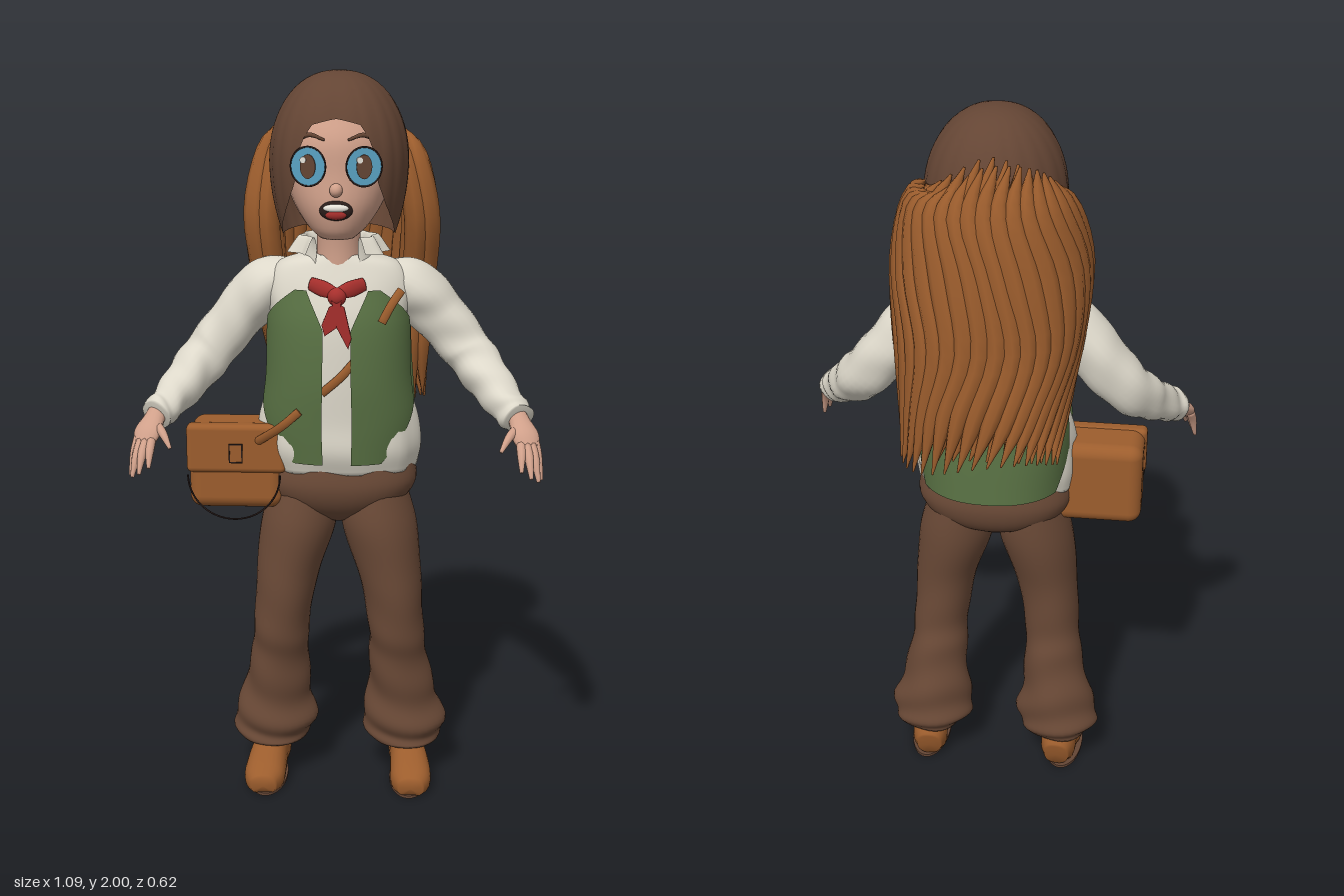
import * as THREE from 'three';
import { RoundedBoxGeometry } from 'three/addons/geometries/RoundedBoxGeometry.js';

const V = (x, y, z) => new THREE.Vector3(x, y, z);
const rad = THREE.MathUtils.degToRad;

// One flat colour per material
const mat = (name, color) => new THREE.MeshStandardMaterial({ name, color, side: THREE.DoubleSide });
const M = {
  cap: mat('darkBrownHair', 0x644534), trouser: mat('brownCloth', 0x6b4a37), tan: mat('tanLeather', 0x9c5d2d),
  shirt: mat('creamCloth', 0xddd8ca), vest: mat('greenCloth', 0x587043), red: mat('redCloth', 0xa62f2c),
  skin: mat('skin', 0xd0a08a), blue: mat('blueGlass', 0x5aa3c4), dark: mat('black', 0x2a1d1a), white: mat('white', 0xf0ece2),
};

// Grid of points fn(i, j) turned into a smooth surface
function grid(cols, rows, closed, fn) {
  const pos = [], idx = [], w = closed ? cols : cols + 1;
  for (let j = 0; j <= rows; j++) for (let i = 0; i < w; i++) pos.push(...fn(i / cols, j / rows).toArray());
  for (let j = 0; j < rows; j++) for (let i = 0; i < cols; i++) {
    const a = j * w + i, b = j * w + (i + 1) % w;
    idx.push(a, b, a + w, b, b + w, a + w);
  }
  const g = new THREE.BufferGeometry();
  g.setAttribute('position', new THREE.Float32BufferAttribute(pos, 3));
  g.setIndex(idx);
  g.computeVertexNormals();
  return g;
}

const pw = (v, p) => Math.sign(v) * Math.abs(v) ** p;

// Sweep of oval sections; rows are [x, y, z, rx, rz]; arc limits the angle range, 0 faces ref
function sweep(rows, { n = 24, m = 24, ref = V(0, 0, 1), up = null, wob = () => 1, arc = null, p = 1 } = {}) {
  const path = new THREE.CatmullRomCurve3(rows.map(r => V(r[0], r[1], r[2])), false, 'catmullrom');
  const size = new THREE.CatmullRomCurve3(rows.map(r => V(r[3], r[4], 0)), false, 'catmullrom');
  return grid(n, m + 2, !arc, (u, v) => {
    const k = Math.round(v * (m + 2)), t = THREE.MathUtils.clamp((k - 1) / m, 0, 1);
    const end = !arc && (k === 0 || k === m + 2) ? 0 : 1;
    const T = up || path.getTangent(t);
    const S = T.clone().cross(ref).normalize(), F = S.clone().cross(T);
    const lim = arc ? arc(t).map(rad) : [0, Math.PI * 2];
    const a = lim[0] + (lim[1] - lim[0]) * u, r = size.getPoint(t), w = wob(a, t) * end;
    return path.getPoint(t).addScaledVector(S, pw(Math.sin(a), p) * r.x * w).addScaledVector(F, pw(Math.cos(a), p) * r.y * w);
  });
}

export function createModel() {
  const root = new THREE.Group();
  root.name = 'youngExplorer';
  const UP = V(0, 1, 0);
  const add = (name, geo, m, x = 0, y = 0, z = 0, parent = root) => {
    const o = new THREE.Mesh(geo, m);
    o.name = name;
    o.position.set(x, y, z);
    parent.add(o);
    return o;
  };
  const ball = (name, m, p, s) => add(name, new THREE.SphereGeometry(1, 20, 14), m, ...p).scale.set(...s);

  // Head and neck
  add('head', sweep([[0, 1.58, .11, .045, .05], [0, 1.61, .085, .08, .095], [0, 1.67, .05, .12, .142], [0, 1.75, .025, .148, .158],
    [0, 1.83, .015, .15, .16], [0, 1.9, .01, .115, .13]], { up: UP, n: 32 }), M.skin);
  add('neck', sweep([[0, 1.44, .025, .065, .07], [0, 1.54, .032, .058, .058], [0, 1.64, .04, .06, .06]], { up: UP }), M.skin);
  ball('nose', M.skin, [0, 1.712, .19], [.017, .018, .02]);
  ball('lips', M.dark, [0, 1.66, .188], [.043, .026, .014]);
  ball('tongue', M.red, [0, 1.651, .195], [.028, .013, .01]);
  ball('teeth', M.white, [0, 1.667, .196], [.033, .011, .01]);

  // Round spectacles, eyes and brows
  for (const s of [-1, 1]) {
    const eye = new THREE.Group();
    eye.name = 'spectacle';
    eye.position.set(s * .071, 1.772, .184);
    eye.rotation.y = s * .2;
    root.add(eye);
    const disc = (name, m, r, sx, x, y, z) => {
      const o = add(name, new THREE.CylinderGeometry(r, r, .006, 28), m, x, y, z, eye);
      o.rotation.x = Math.PI / 2;
      o.scale.x = sx;
    };
    disc('lens', M.blue, .049, .92, 0, 0, 0);
    disc('pupil', M.cap, .031, .65, 0, 0, .004);
    disc('glint', M.white, .008, 1, -.012, .017, .006);
    ball('eyeball', M.white, [s * .071, 1.772, .158], [.036, .038, .022]);
    add('rim', new THREE.TorusGeometry(.05, .0025, 8, 32), M.dark, 0, 0, .002, eye).scale.x = .92;
    add('brow', sweep([[s * .03, 1.838, .178, .003, .003], [s * .07, 1.85, .17, .006, .006], [s * .105, 1.828, .15, .003, .003]],
      { n: 8, ref: UP }), M.cap);
  }

  // Smooth bob with an open face and a narrower, squarer front; hem height depends on the angle from the front
  const hem = [[0, 1.89], [18, 1.875], [26, 1.835], [33, 1.73], [44, 1.67], [60, 1.62], [75, 1.585], [90, 1.57], [181, 1.58]];
  const hemY = d => {
    const k = hem.findIndex(h => h[0] > d), [a, b] = [hem[k - 1], hem[k]];
    return THREE.MathUtils.mapLinear(d, a[0], b[0], a[1], b[1]);
  };
  add('bobHair', grid(120, 24, true, (u, v) => {
    const a = u * Math.PI * 2, y = hemY(Math.abs(THREE.MathUtils.radToDeg(a > Math.PI ? a - 2 * Math.PI : a)));
    const end = y > 1.77 ? Math.acos((y - 1.77) / .23) : Math.PI / 2 + (1.77 - y) / .2;
    const f = end * (1 - v), k = f - Math.PI / 2, front = Math.max(0, Math.cos(a)), p = 1 - .2 * front ** .5;
    const r = (k < 0 ? .183 * Math.sin(f) ** .88 : .183 - .035 * k * k) * (1 + .014 * Math.abs(Math.sin(a * 10)) * Math.sin(f));
    return V(pw(Math.sin(a), p) * r * (1 - .05 * front), k < 0 ? 1.77 + .23 * Math.cos(f) : 1.77 - .2 * k, pw(Math.cos(a), p) * r * (1.03 + .04 * front));
  }), M.cap);

  // Long wavy strands fanned over the back in two layers; rows are [y, halfWidth, backZ, sideZ]
  const fall = [[1.9, .165, -.185, -.13], [1.78, .205, -.215, -.075], [1.62, .232, -.24, -.055], [1.44, .225, -.26, -.085],
    [1.27, .21, -.28, -.115], [1.11, .212, -.305, -.155]];
  const hair = new THREE.Group();
  hair.name = 'longHair';
  root.add(hair);
  for (const [count, scale] of [[19, 1], [14, .87]]) for (let i = 0; i < count; i++) {
    const b0 = rad(-92 + 184 * i / (count - 1)), jit = Math.sin(i * 12.9) * .035;
    const rows = fall.map(([y, w, zb, zs], k) => {
      const b = b0 + .19 * Math.sin(k * 1.5 + .3 + .25 * Math.sin(i * 7)), t = k / 5, r = [.004, .034, .042, .039, .03, .003][k];
      return [(w * Math.sin(b)) * scale + .022 * t * t, y + jit * (k === 0 || k === 5 ? 1 : .3) - .05 * (k === 0) * Math.abs(Math.sin(b)),
        (zs + (zb - zs) * Math.max(Math.cos(b), -.1)) * (scale * .5 + .5) - .04 * t * Math.max(0, -Math.sin(b)), r * .85, r * .8];
    });
    add('strand', sweep(rows, { n: 8, m: 20, ref: V(Math.sin(b0), 0, -Math.cos(b0)) }), M.tan, 0, 0, 0, hair);
  }

  // Shirt body with cloth folds and an open frilled collar
  add('shirt', sweep([[0, .935, 0, .21, .132], [0, 1.0, .005, .222, .148], [0, 1.08, .005, .215, .145], [0, 1.2, .01, .183, .142],
    [0, 1.34, .01, .183, .135], [0, 1.43, .005, .195, .115], [0, 1.495, .008, .165, .086], [0, 1.525, .02, .085, .06]],
  { up: UP, n: 48, m: 40, p: .88, wob: (a, t) => 1 + .025 * Math.sin(a * 9 + 5 * t) * (1 - t) }), M.shirt);
  add('collar', sweep([[0, 1.48, .02, .1, .085], [0, 1.54, .03, .088, .068], [0, 1.575, .03, .098, .075], [0, 1.53, .03, .128, .092]],
    { up: UP, n: 56, arc: () => [38, 322], wob: (a, t) => 1 + .09 * Math.sin(a * 8) * t }), M.shirt);

  // Vest: mirrored front panels and one back panel
  const front = [[0, .97, 0, .2, .158], [0, 1.08, .005, .213, .162], [0, 1.2, .01, .2, .163], [0, 1.34, .01, .196, .152], [0, 1.44, .01, .19, .122]];
  for (const s of [-1, 1]) add('vestFront', sweep(front, { up: UP, p: .9, arc: t => {
    const r = [9 + 14 * Math.max(0, t - .75) / .25, 34 + 44 * Math.min(1, t / .35) - 44 * Math.max(0, t - .78) / .22];
    return s > 0 ? r : [-r[1], -r[0]];
  } }), M.vest);
  add('vestBack', sweep([[0, .97, 0, .205, .218], [0, 1.1, 0, .21, .205], [0, 1.25, 0, .2, .185], [0, 1.43, 0, .195, .13]],
    { up: UP, n: 40, p: .88, arc: t => {
      const a = 122 - 20 * Math.min(1, t / .25);
      return [a, 360 - a];
    } }), M.vest);

  // Scarf knot, uneven tails and neck bands
  ball('scarfKnot', M.red, [0, 1.428, .146], [.025, .025, .024]);
  for (const [s, len] of [[-1, .09], [1, .125]]) {
    const tail = new THREE.Shape([[s * -.012, 0], [s * .018, -.02], [s * .036, -len + .025], [s * .03, -len], [s * .003, -.07]].map(q => new THREE.Vector2(...q)));
    add('scarfTail', new THREE.ExtrudeGeometry(tail, { depth: .01, bevelSize: .003, bevelThickness: .003 }), M.red, 0, 1.42, .154);
    add('scarfBand', sweep([[0, 1.436, .148, .014, .01], [s * .035, 1.446, .132, .022, .011], [s * .07, 1.455, .108, .018, .01]], { n: 10 }), M.red);
  }

  // Shoulder strap, seen where it leaves the vest
  for (const q of [[[.168, 1.44, .112], [.142, 1.405, .14], [.118, 1.36, .15]], [[.05, 1.26, .158], [.01, 1.215, .163], [-.04, 1.17, .158]],
    [[-.1, 1.12, .162], [-.15, 1.075, .155], [-.22, 1.02, .11]]])
    add('strap', sweep(q.map(v => [...v, .012, .006]), { n: 10, m: 8 }), M.tan);

  // Satchel with flap, clasp and a thin hanging loop
  add('satchel', new RoundedBoxGeometry(.255, .237, .15, 4, .035), M.tan, -.277, .946, .033);
  add('satchelFlap', new RoundedBoxGeometry(.27, .135, .045, 3, .015), M.tan, -.275, 1.0, .094);
  add('claspPlate', new THREE.BoxGeometry(.034, .05, .005), M.tan, -.275, .99, .118);
  for (const [w, h, x, y] of [[.037, .003, 0, .025], [.037, .003, 0, -.025], [.003, .05, .017, 0], [.003, .05, -.017, 0]])
    add('clasp', new THREE.BoxGeometry(w, h, .006), M.dark, -.275 + x, .99 + y, .119);
  add('satchelLoop', new THREE.TorusGeometry(.125, .0025, 6, 48, Math.PI), M.dark, -.28, .93, .122).rotation.z = Math.PI;

  // Trousers
  add('hips', sweep([[0, .785, .005, .03, .06], [0, .83, 0, .16, .115], [0, .89, 0, .212, .138], [0, .965, 0, .207, .13]],
    { up: UP, n: 40, p: .88 }), M.trouser);
  const folds = (a, t) => 1 + .07 * Math.sin(t * 36 + 2.5 * Math.sin(a + 1)) * (1 - t) ** 1.6 + .03 * Math.sin(4 * a + 9 * t) * (1 - t);
  for (const s of [-1, 1]) {
    const mx = rows => rows.map(([x, ...r]) => [s * x, ...r]);
    add('trouserLeg', sweep(mx([[.19, .105, -.02, .09, .085], [.185, .16, -.02, .116, .092], [.178, .26, -.015, .096, .088], [.167, .38, .002, .082, .09],
      [.16, .48, .018, .079, .096], [.143, .62, .02, .087, .104], [.112, .77, .01, .104, .118], [.098, .89, 0, .085, .11]]),
    { up: UP, n: 32, m: 64, wob: folds }), M.trouser);

    // Shoe with a flat dark sole
    const shoe = sweep(mx([[.19, .05, -.095, .035, .04], [.192, .06, -.06, .05, .065], [.197, .06, .0, .05, .07], [.204, .045, .06, .056, .058],
      [.208, .03, .12, .056, .046], [.208, .025, .165, .035, .026]]), { ref: UP, p: .85 });
    const q = shoe.attributes.position;
    for (let i = 0; i < q.count; i++) q.setY(i, Math.max(.005, q.getY(i)));
    shoe.computeVertexNormals();
    add('shoe', shoe, M.tan);
    add('sole', new THREE.CylinderGeometry(1, 1, .008, 32), M.cap, s * .202, .004, .04).scale.set(.056, 1, .132);
    for (const k of [0, 1, 2]) {
      const z = .045 + k * .022, y = .112 - k * .012;
      add('lace', sweep(mx([[.172, y - .01, z, .003, .003], [.203, y, z, .003, .003], [.234, y - .012, z, .003, .003]]), { n: 6, m: 6 }), M.white);
    }

    // Sleeve with gathered folds and cuff
    add('sleeve', sweep(mx([[.12, 1.455, -.005, .05, .06], [.195, 1.425, -.02, .075, .082], [.272, 1.345, -.032, .073, .078], [.35, 1.25, -.015, .069, .073],
      [.405, 1.185, .05, .06, .062], [.455, 1.13, .125, .048, .05], [.482, 1.108, .165, .045, .045]]),
    { n: 24, m: 48, wob: (a, t) => 1 + .07 * Math.sin(t * 40 + 2.5 * Math.sin(a)) * t + .035 * Math.sin(4 * a + 11 * t) }), M.shirt);

    // Hand with spread fingers
    const hand = new THREE.Group();
    hand.name = 'hand';
    root.add(hand);
    add('palm', sweep(mx([[.475, 1.118, .155, .026, .026], [.485, 1.1, .18, .03, .022], [.497, 1.075, .212, .038, .02], [.505, 1.05, .235, .03, .014]]),
      { n: 16, ref: UP }), M.skin, 0, 0, 0, hand);
    for (const [bx, by, bz, tx, ty, tz] of [[.475, 1.09, .195, .432, 1.045, .265], [.485, 1.06, .23, .485, 1.0, .298], [.5, 1.055, .235, .51, .985, .305],
      [.513, 1.055, .23, .53, .972, .288], [.522, 1.06, .218, .539, .968, .255]])
      add('finger', sweep(mx([[bx, by, bz, .013, .013], [(bx + tx) / 2, (by + ty) / 2 + .008, (bz + tz) / 2 + .004, .0115, .0115], [tx, ty, tz, .005, .005]]),
        { n: 10, m: 8, ref: UP }), M.skin, 0, 0, 0, hand);
  }
  return root;
}
